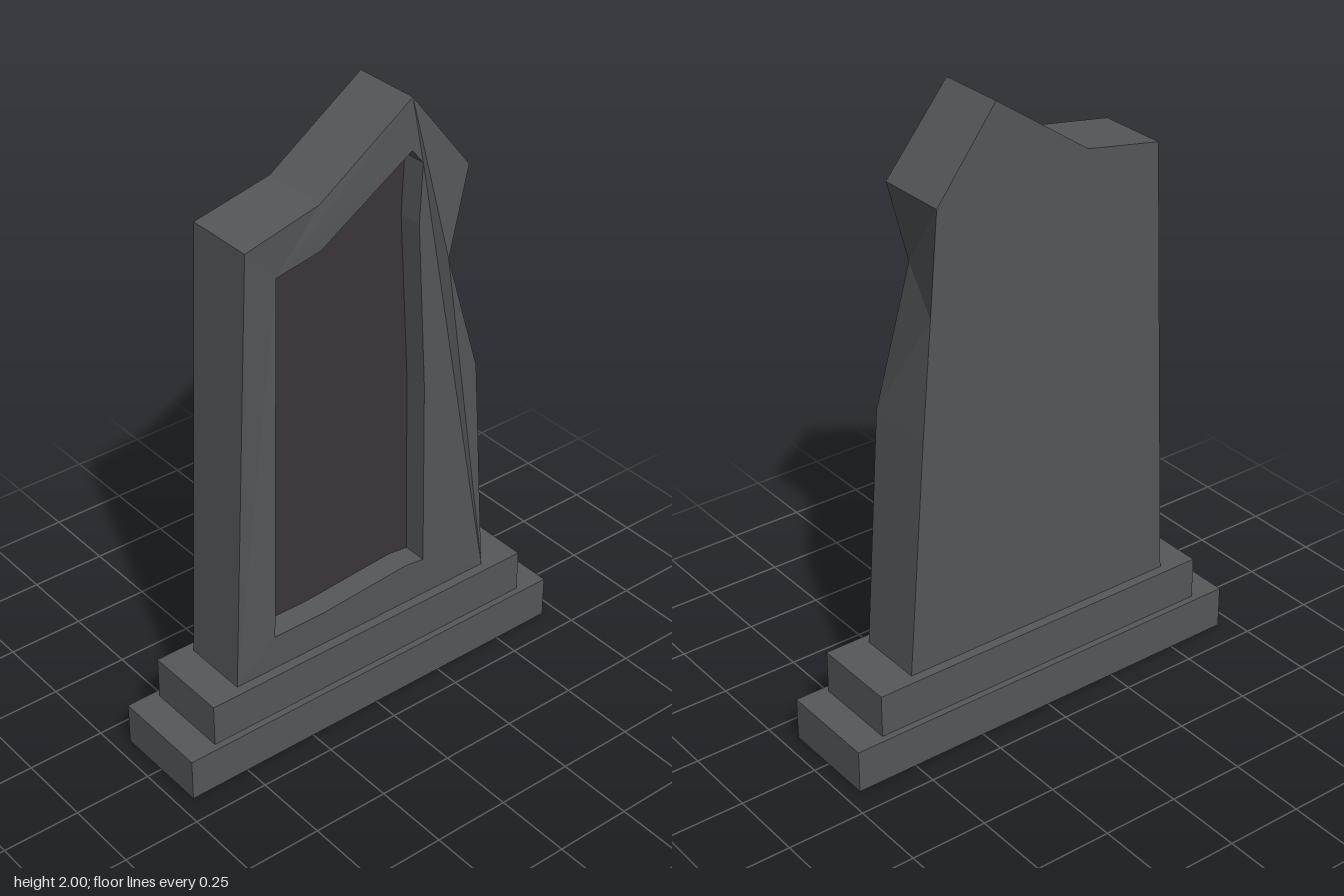
import * as THREE from 'three';

const stone = new THREE.MeshStandardMaterial({ color: 0x55575a, flatShading: true });
const darkStone = new THREE.MeshStandardMaterial({ color: 0x3a353c, flatShading: true });

// Slab outline, counter-clockwise from the front: front [x, y, z], back [x, y, z]
const outline = [
  [[-0.49, 0.28, 0.11], [-0.49, 0.28, -0.11]],
  [[0.47, 0.28, 0.11], [0.47, 0.28, -0.11]],
  [[0.41, 1.05, 0.118], [0.41, 1.05, -0.11]],
  [[0.27, 1.47, 0.14], [0.377, 1.42, -0.11]], // chipped edge, cut only into the front
  [[0.35, 1.74, 0.125], [0.35, 1.74, -0.11]],
  [[0.15, 2.0, 0.112], [0.15, 2.0, -0.11]],
  [[-0.17, 1.78, 0.11], [-0.17, 1.78, -0.11]],
  [[-0.435, 1.73, 0.128], [-0.435, 1.73, -0.1]],
];
const front = outline.map((p) => p[0]);
const back = outline.map((p) => p[1]);

// Recessed panel, counter-clockwise
const panel = [
  [-0.35, 0.4], [-0.17, 0.4], [0.15, 0.425], [0.222, 0.417], [0.212, 1.05],
  [0.18, 1.6], [0.19, 1.79], [0.15, 1.84], [-0.17, 1.64], [-0.323, 1.61],
];
const rim = panel.map(([x, y]) => [x, y, 0.114]);
const floor = panel.map(([x, y]) => [x, y, 0.035]);

// Flat cap over a loop, with an optional hole
function cap(loop, hole = [], flip = false) {
  const flat = (l) => l.map(([x, y]) => new THREE.Vector2(x, y));
  const all = [...loop, ...hole];
  const faces = THREE.ShapeUtils.triangulateShape(flat(loop), hole.length ? [flat(hole)] : []);
  return faces.flatMap(([a, b, c]) => (flip ? [a, c, b] : [a, b, c]).map((i) => all[i]));
}

// Side walls from loop a (nearer the front) to loop b; swap the loops to face inward
function walls(a, b) {
  return a.flatMap((p, i) => {
    const j = (i + 1) % a.length;
    return [p, b[i], b[j], p, b[j], a[j]];
  });
}

function addMesh(group, name, points, material) {
  const geometry = new THREE.BufferGeometry();
  geometry.setAttribute('position', new THREE.Float32BufferAttribute(points.flat(), 3));
  geometry.computeVertexNormals();
  const mesh = new THREE.Mesh(geometry, material);
  mesh.name = name;
  group.add(mesh);
}

export function createModel() {
  const group = new THREE.Group();
  group.name = 'gravestone';

  // Two stacked plinth steps
  [['lowerStep', 1.4, 0.328, 0.07], ['upperStep', 1.2, 0.284, 0.21]].forEach(([name, w, d, y]) => {
    const step = new THREE.Mesh(new THREE.BoxGeometry(w, 0.14, d), stone);
    step.name = name;
    step.position.y = y;
    group.add(step);
  });

  // Broken slab with a framed front
  addMesh(group, 'slab', [...cap(front, rim), ...walls(front, back), ...cap(back, [], true)], stone);

  // Sunken panel
  addMesh(group, 'panelWalls', walls(floor, rim), stone);
  addMesh(group, 'panelFloor', cap(floor), darkStone);

  return group;
}
